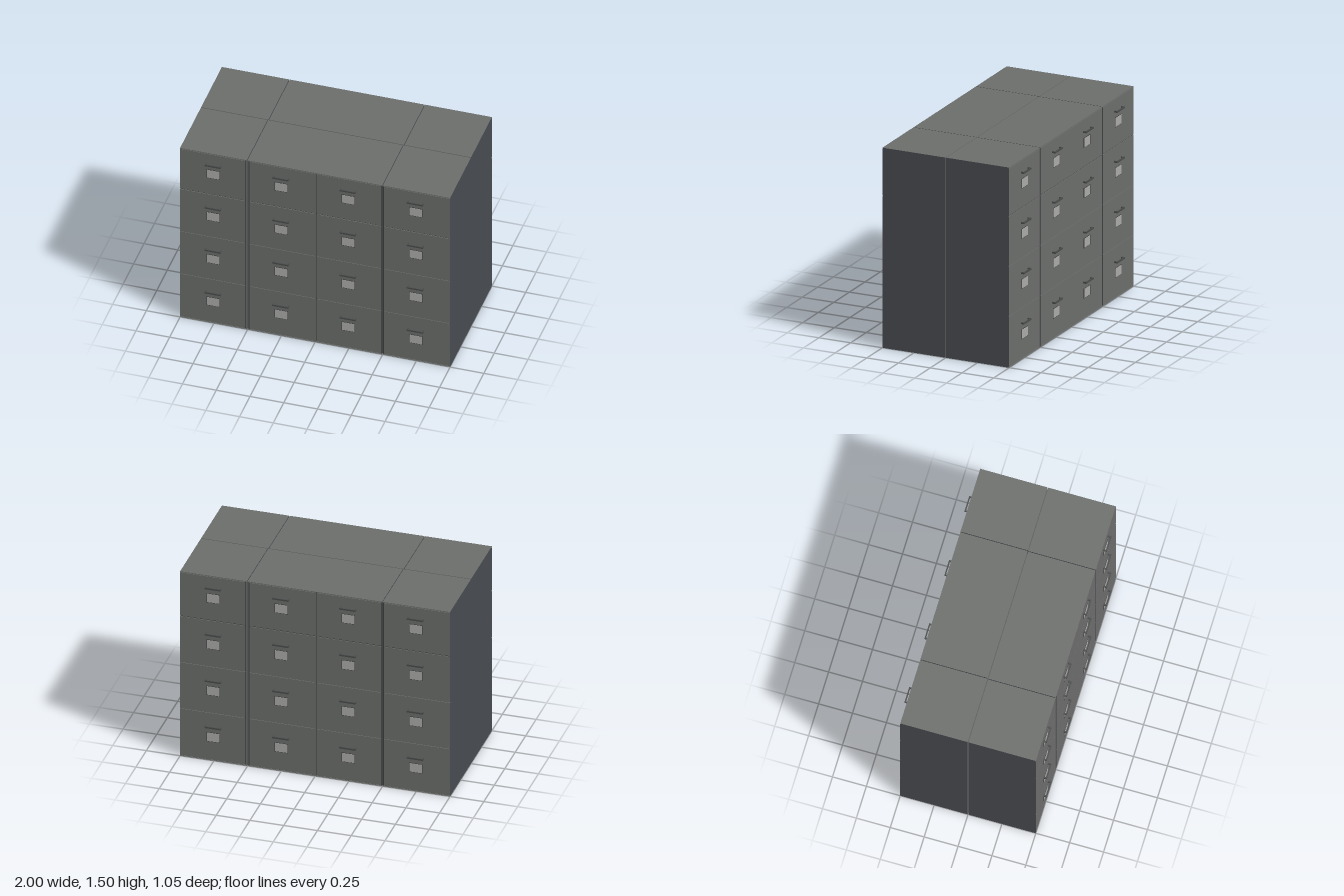
import * as THREE from 'three';

const H = 1.495;
const mat = (name, color) => {
  const m = new THREE.MeshStandardMaterial({ color });
  m.name = name;
  return m;
};

export function createModel() {
  const grey = mat('cabinet grey', 0x6b6d6b);
  const side = mat('side slate', 0x484b50);
  const base = mat('underside', 0x303130);
  const groove = mat('groove dark', 0x3c3e3d);
  const metal = mat('handle metal', 0x4a4c4b);
  const paper = mat('label', 0xaaaaa8);

  // Box given by its minimum and maximum corners
  function box(parent, name, material, [x0, y0, z0], [x1, y1, z1]) {
    const mesh = new THREE.Mesh(new THREE.BoxGeometry(x1 - x0, y1 - y0, z1 - z0), material);
    mesh.position.set((x0 + x1) / 2, (y0 + y1) / 2, (z0 + z1) / 2);
    mesh.name = name;
    parent.add(mesh);
  }

  // Bow handle: two posts and a bar
  function handle(parent, x, y) {
    const g = new THREE.Group();
    g.name = 'handle';
    for (const s of [-1, 1]) {
      const px = x + s * 0.055;
      box(g, 'handlePost', metal, [px - 0.005, y - 0.006, 0.499], [px + 0.005, y + 0.006, 0.524]);
    }
    box(g, 'handleBar', metal, [x - 0.06, y - 0.006, 0.517], [x + 0.06, y + 0.006, 0.526]);
    parent.add(g);
  }

  // Label in its thin holder
  function label(parent, x, y) {
    box(parent, 'labelHolder', groove, [x - 0.05, y - 0.037, 0.499], [x + 0.05, y + 0.037, 0.503]);
    box(parent, 'label', paper, [x - 0.047, y - 0.034, 0.502], [x + 0.047, y + 0.034, 0.504]);
  }

  // Each cabinet: carcass extent, drawer extent, centre of the fittings
  const cabinets = [
    { body: [-1, -0.506], drawer: [-1, -0.519], centre: -0.753 },
    { body: [-0.501, 0], drawer: [-0.486, 0], centre: -0.25 },
    { body: [0, 0.497], drawer: [0.012, 0.49], centre: 0.247 },
    { body: [0.502, 1], drawer: [0.51, 1], centre: 0.747 },
  ];
  const stiles = [[-0.511, -0.506], [-0.501, -0.494], [0, 0.005]];
  // Drawer bottoms and tops
  const rows = [[0.008, 0.383], [0.386, 0.757], [0.76, 1.131], [1.138, 1.486]];

  function row() {
    const g = new THREE.Group();
    g.name = 'cabinetRow';
    for (const { body, drawer, centre } of cabinets) {
      box(g, 'carcass', [side, side, grey, base, groove, grey],
        [body[0], 0, 0.003], [body[1], H, 0.494]);
      // Front rails at the top and bottom
      box(g, 'topRail', grey, [body[0], 1.489, 0.494], [body[1], H, 0.5]);
      box(g, 'bottomRail', grey, [body[0], 0, 0.494], [body[1], 0.004, 0.5]);
      rows.forEach(([y0, y1], i) => {
        box(g, 'drawerFront', [side, side, grey, grey, grey, grey],
          [drawer[0], y0, 0.493], [drawer[1], y1, 0.5]);
        handle(g, centre, 0.275 + i * 0.375);
        label(g, centre, 0.19 + i * 0.375);
      });
    }
    for (const [a, b] of stiles) box(g, 'stile', grey, [a, 0.004, 0.493], [b, 1.489, 0.5]);
    return g;
  }

  // Two rows stand back to back
  const model = new THREE.Group();
  model.name = 'filingCabinets';
  const front = row();
  const back = row();
  back.rotation.y = Math.PI;
  model.add(front, back);
  return model;
}
